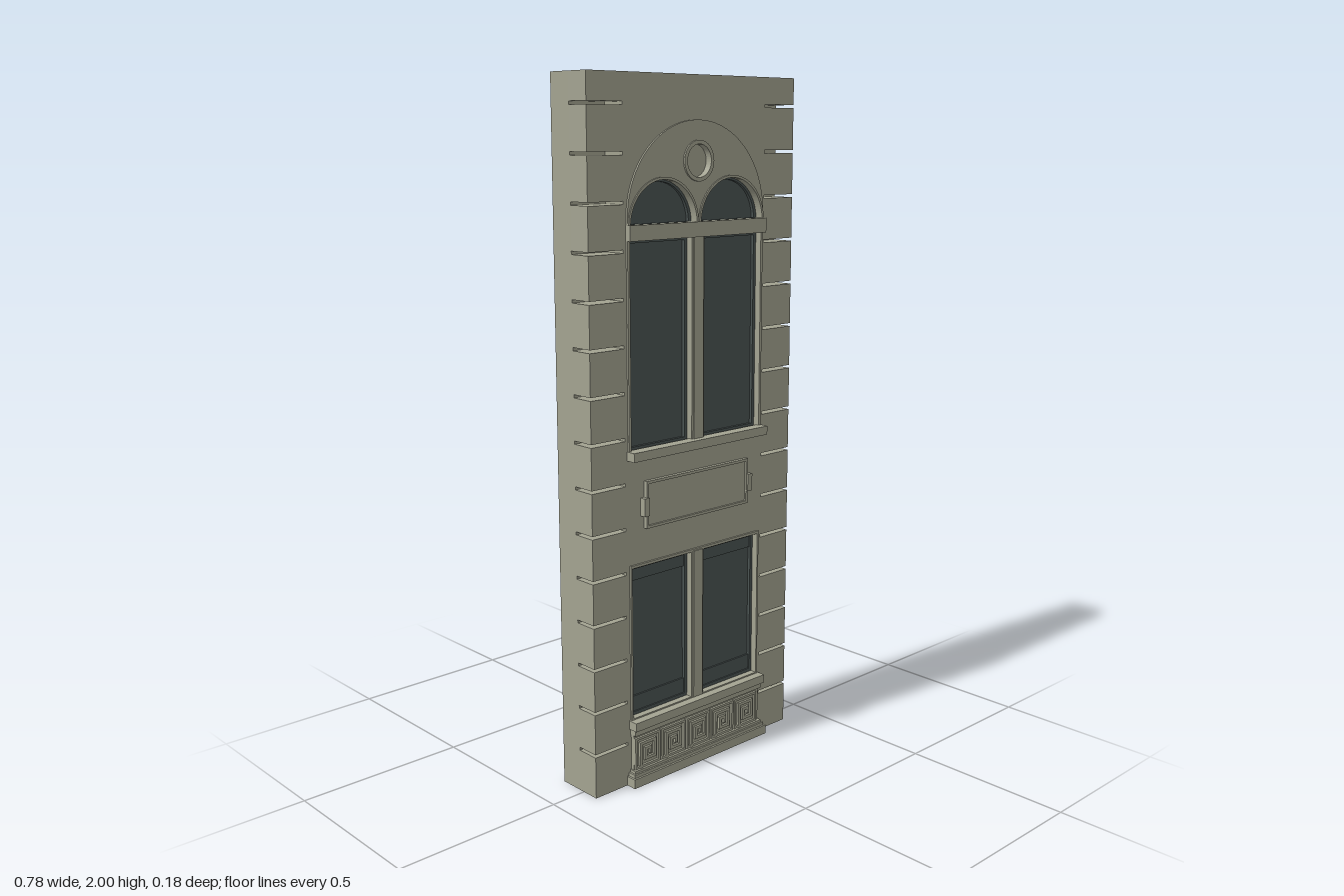
import * as THREE from 'three';

const stone = new THREE.MeshStandardMaterial({ color: 0xa3a391 });
stone.name = 'stone';
const glass = new THREE.MeshStandardMaterial({ color: 0x4a5352 });
glass.name = 'darkGlass';

export function createModel() {
  const model = new THREE.Group();
  model.name = 'windowBay';

  const add = (name, geometry, material = stone, z = 0) => {
    const mesh = new THREE.Mesh(geometry, material);
    mesh.name = name;
    mesh.position.z = z;
    model.add(mesh);
    return mesh;
  };
  const box = (name, x0, x1, y0, y1, z0, z1, material = stone) => {
    const g = new THREE.BoxGeometry(x1 - x0, y1 - y0, z1 - z0);
    g.translate((x0 + x1) / 2, (y0 + y1) / 2, (z0 + z1) / 2);
    return add(name, g, material);
  };
  const trace = (s, x0, x1, y0, y1) =>
    s.moveTo(x0, y0).lineTo(x1, y0).lineTo(x1, y1).lineTo(x0, y1).closePath();
  const rect = (x0, x1, y0, y1) => trace(new THREE.Shape(), x0, x1, y0, y1);
  const rectHole = (x0, x1, y0, y1) => trace(new THREE.Path(), x0, x1, y0, y1);
  const halfRound = (s, x, y, r) => s.moveTo(x + r, y).absarc(x, y, r, 0, Math.PI, false).closePath();
  const circle = (s, y, r) => s.absarc(0, y, r, 0, Math.PI * 2, false);
  const extrude = (name, shape, z0, z1, material = stone) =>
    add(name, new THREE.ExtrudeGeometry(shape, { depth: z1 - z0, bevelEnabled: false, curveSegments: 32 }), material, z0);

  // Openings: lower pair, upper pair, lunettes and roundel
  const sides = [-1, 1];
  const span = (s, a, b) => (s > 0 ? [a, b] : [-b, -a]);
  const lowerHoles = sides.map((s) => rectHole(...span(s, 0.024, 0.252), 0.202, 0.652));
  const upperHoles = sides.flatMap((s) => [
    rectHole(...span(s, 0.024, 0.252), 0.985, 1.565),
    halfRound(new THREE.Path(), s * 0.13, 1.6, 0.122),
  ]);
  upperHoles.push(circle(new THREE.Path(), 1.77, 0.045));

  // Wall: back slab, pierced centre, coursed blocks at both edges
  box('backWall', -0.39, 0.39, 0, 2, -0.09, -0.015);
  const centre = rect(-0.27, 0.27, 0, 2);
  centre.holes.push(...lowerHoles, ...upperHoles);
  extrude('centreWall', centre, -0.015, 0.055);
  const pitch = 0.128, gap = 0.009;
  for (const s of sides) {
    const [a, b] = span(s, 0.27, 0.39);
    for (let i = 0; i < 16; i++) {
      const y0 = i === 0 ? 0 : i * pitch + gap / 2;
      const y1 = i === 15 ? 2 : (i + 1) * pitch - gap / 2;
      box('edgeBlock', a, b, y0, y1, -0.015, 0.055);
    }
  }

  // Raised surrounds
  const lower = rect(-0.258, 0.258, 0.16, 0.66);
  lower.holes.push(...lowerHoles);
  extrude('lowerSurround', lower, 0.055, 0.061);
  const upper = new THREE.Shape();
  upper.moveTo(-0.26, 0.97).lineTo(0.26, 0.97).lineTo(0.26, 1.62);
  upper.absarc(0, 1.62, 0.26, 0, Math.PI, false).closePath();
  upper.holes.push(...upperHoles);
  extrude('archedSurround', upper, 0.055, 0.061);

  // Windows: recessed glass with stepped sash
  const sash = (x0, x1, y0, y1) => {
    box('glassPane', x0, x1, y0, y1, 0.026, 0.032, glass);
    const frame = rect(x0, x1, y0, y1);
    frame.holes.push(rectHole(x0 + 0.01, x1 - 0.01, y0 + 0.01, y1 - 0.01));
    extrude('sash', frame, 0.032, 0.041, glass);
  };
  for (const s of sides) {
    const [a, b] = span(s, 0.024, 0.252);
    sash(a, b, 0.202, 0.652);
    box('topRail', a, b, 0.607, 0.642, 0.032, 0.037, glass);
    box('bottomRail', a, b, 0.212, 0.258, 0.032, 0.037, glass);
    sash(a, b, 0.985, 1.565);
    extrude('lunetteGlass', halfRound(new THREE.Shape(), s * 0.13, 1.6, 0.122), 0.026, 0.032, glass);
    const rim = halfRound(new THREE.Shape(), s * 0.13, 1.6, 0.122);
    rim.holes.push(halfRound(new THREE.Path(), s * 0.13, 1.605, 0.111));
    extrude('lunetteSash', rim, 0.032, 0.041, glass);
    // Hood moulding over each lunette
    const hood = new THREE.Shape();
    hood.absarc(s * 0.13, 1.6, 0.129, 0, Math.PI, false);
    hood.absarc(s * 0.13, 1.6, 0.122, Math.PI, 0, true);
    extrude('lunetteHood', hood, 0.061, 0.065);
  }
  box('lowerMullion', -0.018, 0.018, 0.2, 0.655, 0.061, 0.065);
  box('upperMullion', -0.018, 0.018, 0.985, 1.565, 0.061, 0.065);

  // Roundel
  extrude('roundelPanel', circle(new THREE.Shape(), 1.77, 0.047), 0.03, 0.045);
  const ring = circle(new THREE.Shape(), 1.77, 0.056);
  ring.holes.push(circle(new THREE.Path(), 1.77, 0.045));
  extrude('roundelRing', ring, 0.055, 0.066);

  // Transom and upper sill
  box('transom', -0.262, 0.262, 1.563, 1.605, 0.05, 0.073);
  box('upperSill', -0.264, 0.264, 0.964, 0.99, 0.05, 0.086);

  // Plaque with side tabs
  box('plaque', -0.195, 0.195, 0.766, 0.891, 0.05, 0.061);
  const border = rect(-0.202, 0.202, 0.76, 0.897);
  border.holes.push(rectHole(-0.194, 0.194, 0.768, 0.889));
  extrude('plaqueBorder', border, 0.055, 0.067);
  for (const s of sides) {
    box('plaqueTab', ...span(s, 0.196, 0.215), 0.798, 0.85, 0.05, 0.073);
  }

  // Lower sill, fret panel and plinth
  box('lowerSill', -0.264, 0.264, 0.172, 0.198, 0.05, 0.086);
  box('sillMoulding', -0.259, 0.259, 0.154, 0.172, 0.05, 0.077);
  box('fretPanel', -0.257, 0.257, 0.04, 0.156, 0.05, 0.066);
  box('plinth', -0.273, 0.273, 0, 0.028, 0.05, 0.088);
  box('plinthStep', -0.267, 0.267, 0.028, 0.038, 0.05, 0.082);
  box('plinthCap', -0.261, 0.261, 0.038, 0.046, 0.05, 0.077);

  // Greek key: raised square frame with a spiral inside each panel
  const w = 0.0045;
  const key = [[-0.026, -0.045], [-0.026, 0.026], [0.028, 0.026], [0.028, -0.024], [-0.008, -0.024], [-0.008, 0.006], [0.011, 0.006], [0.011, -0.008]];
  for (let i = -2; i <= 2; i++) {
    const cx = i * 0.101 - 0.006, cy = 0.096;
    const frame = rect(cx - 0.048, cx + 0.048, cy - 0.048, cy + 0.048);
    frame.holes.push(rectHole(cx - 0.041, cx + 0.041, cy - 0.041, cy + 0.041));
    extrude('keyFrame', frame, 0.066, 0.073);
    for (let k = 0; k + 1 < key.length; k++) {
      const [ax, ay] = key[k], [bx, by] = key[k + 1];
      box('keyBar', cx + Math.min(ax, bx) - w, cx + Math.max(ax, bx) + w,
        cy + Math.min(ay, by) - w, cy + Math.max(ay, by) + w, 0.066, 0.073);
    }
  }
  return model;
}
